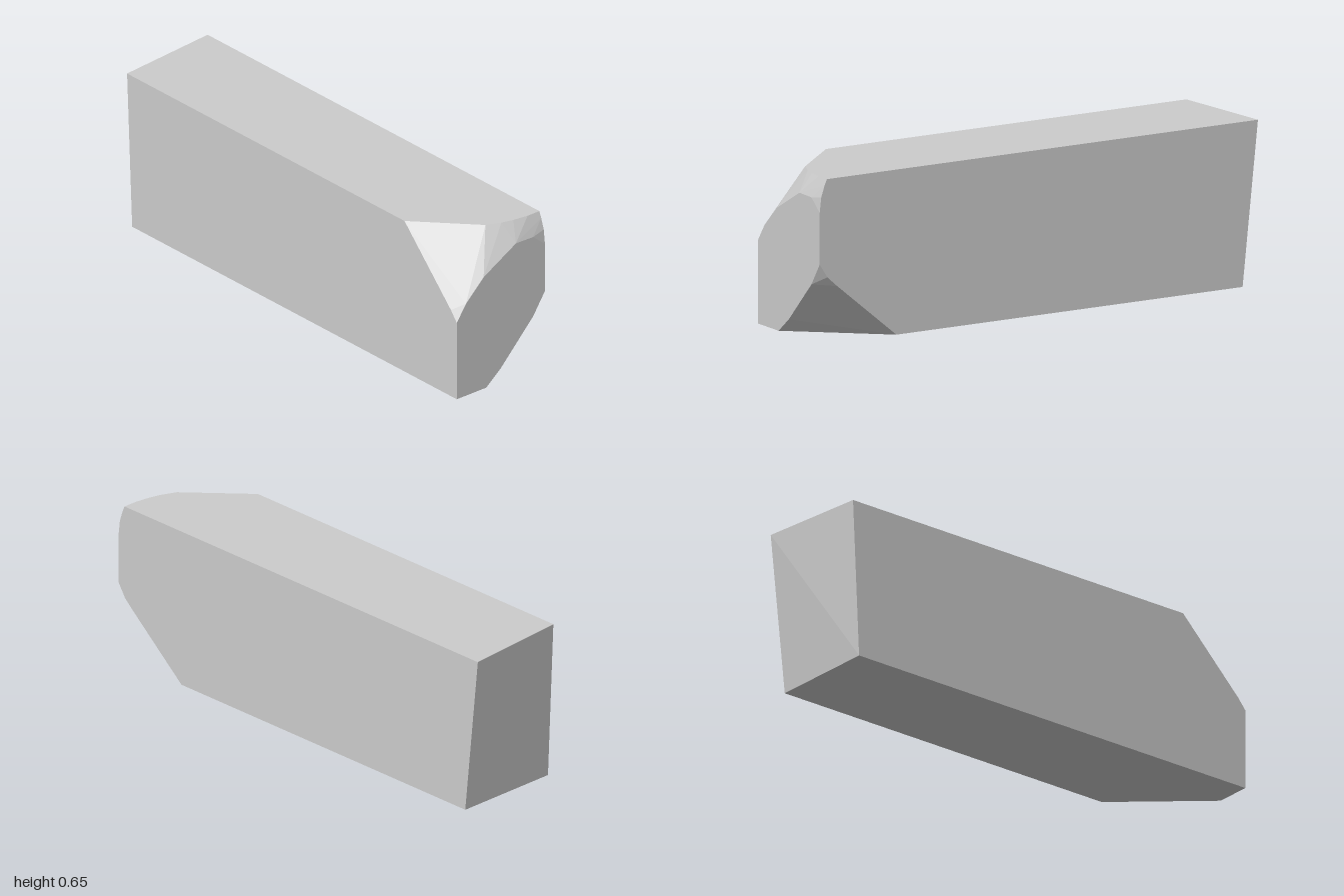
import * as THREE from 'three';
import { ConvexGeometry } from 'three/addons/geometries/ConvexGeometry.js';

const W = 0.225; // half width
const H = 0.655; // height

export function createModel() {
  const stone = new THREE.MeshStandardMaterial({ color: 0xcccccc });
  stone.name = 'light grey stone';

  // slightly skewed back end
  const back = [[-W, 0, -0.925], [W, 0, -0.93], [W, H, -1], [-W, H, -0.955]];

  // outline of the flat front end
  const front = [
    [-W, 0], [-0.075, 0], [0, 0.06], [0.165, 0.23], [W, 0.32], [W, 0.525],
    [0.165, 0.575], [0.077, 0.577], [-0.088, 0.485], [-0.178, 0.4], [-W, 0.332],
  ].map(([x, y]) => [x, y, 1]);

  // worn upper edge, running along the top face
  const topEdge = [
    [-W, 0.69], [-0.01, 0.92], [0.05, 0.945], [0.1, 0.958], [0.165, 0.967], [W, 0.967],
  ].map(([x, z]) => [x, H, z]);

  // ends of the chipped corners on the two sides
  const leftEdge = [
    [0, 0.65], [0.225, 0.92], [0.265, 0.965], [0.585, 0.993], [0.63, 0.978],
  ].map(([y, z]) => [W, y, z]);
  const rightEdge = [[-W, 0.375, 0.965]];

  const points = [...back, ...front, ...topEdge, ...leftEdge, ...rightEdge]
    .map((p) => new THREE.Vector3(...p));
  const block = new THREE.Mesh(new ConvexGeometry(points), stone);
  block.name = 'chippedStoneBlock';

  const group = new THREE.Group();
  group.name = 'stoneBlock';
  group.add(block);
  return group;
}
